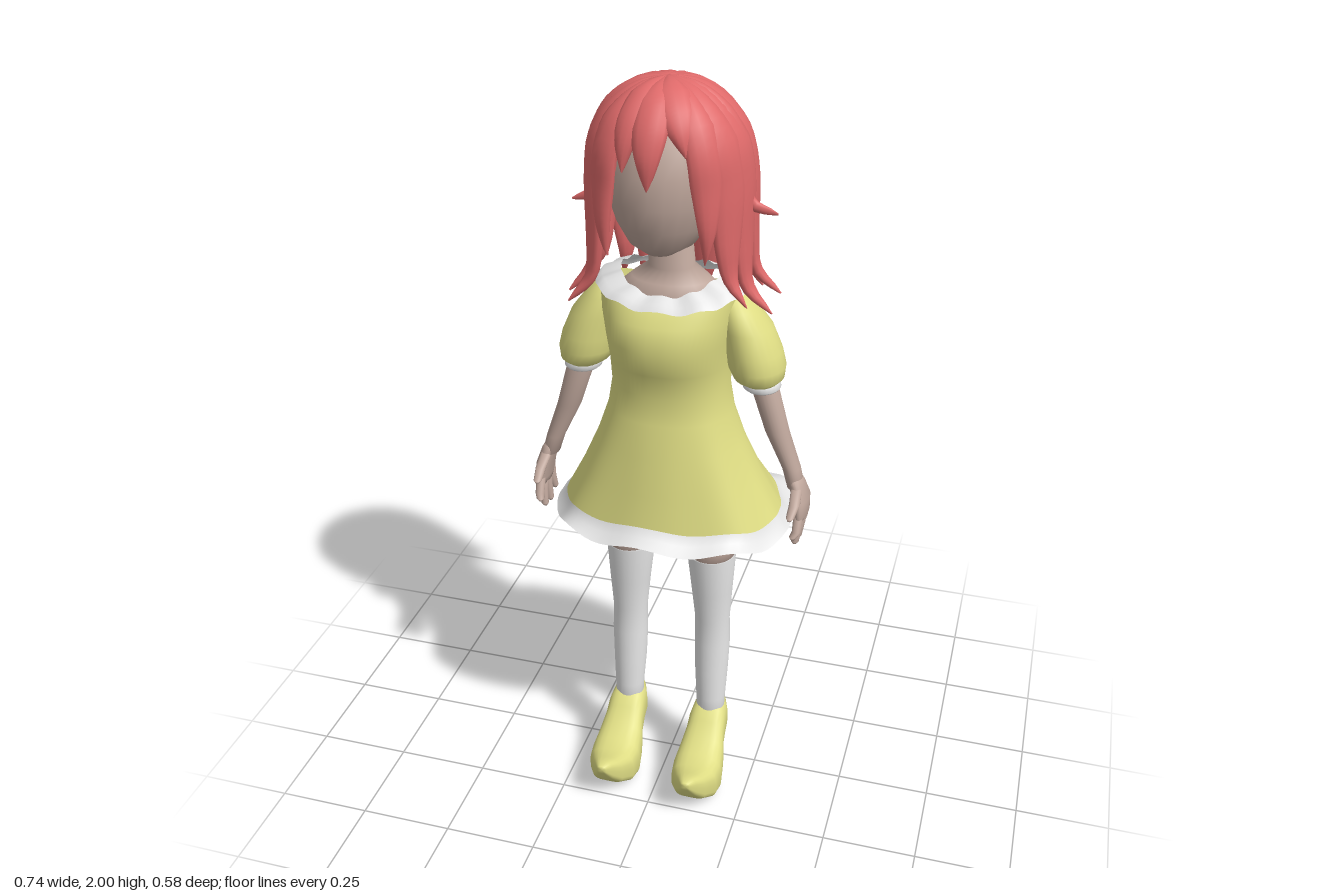
import * as THREE from 'three';

const mat = (name, color, side = THREE.FrontSide) => {
  const m = new THREE.MeshStandardMaterial({ color, side });
  m.name = name;
  return m;
};

// Superellipse ring at height y, with separate front and back depth and squareness
function ring(cx, y, cz, rx, rf, rb = rf, pf = 2, pb = pf, n = 24, shape = null) {
  const pts = [];
  for (let i = 0; i < n; i++) {
    const a = (i / n) * Math.PI * 2, s = Math.sin(a), c = Math.cos(a), p = c > 0 ? pf : pb;
    const v = new THREE.Vector3(
      Math.sign(s) * Math.abs(s) ** (2 / p) * rx, y,
      Math.sign(c) * Math.abs(c) ** (2 / p) * (c > 0 ? rf : rb));
    if (shape) shape(v, a);
    v.x += cx;
    v.z += cz;
    pts.push(v);
  }
  return pts;
}

// Smooth skin over a list of rings, optionally closed at both ends
function loft(rings, capped = true) {
  const n = rings[0].length, pos = [], idx = [];
  rings.forEach(r => r.forEach(v => pos.push(v.x, v.y, v.z)));
  for (let i = 0; i < rings.length - 1; i++) {
    for (let j = 0; j < n; j++) {
      const a = i * n + j, b = i * n + (j + 1) % n;
      idx.push(a, b, b + n, a, b + n, a + n);
    }
  }
  if (capped) {
    [0, rings.length - 1].forEach((k, end) => {
      const c = rings[k].reduce((s, v) => s.add(v), new THREE.Vector3()).divideScalar(n);
      const ci = pos.length / 3;
      pos.push(c.x, c.y, c.z);
      for (let j = 0; j < n; j++) {
        const a = k * n + j, b = k * n + (j + 1) % n;
        if (end) idx.push(ci, a, b); else idx.push(ci, b, a);
      }
    });
  }
  const g = new THREE.BufferGeometry();
  g.setAttribute('position', new THREE.Float32BufferAttribute(pos, 3));
  g.setIndex(idx);
  g.computeVertexNormals();
  return g;
}

// Tapered lock of hair running from the crown over the skull to its swept tip
function lock(phiDeg, tipY, flare, width, sweep = 0) {
  const CY = 1.77, RX = 0.183, RY = 0.216, RZ = 0.194;
  const end = tipY > CY ? Math.acos((tipY - CY) / RY) : Math.PI / 2;
  const at = (f, y, turn = 0, z0 = 0) => {
    const phi = THREE.MathUtils.degToRad(phiDeg + turn);
    return new THREE.Vector3(Math.sin(phi) * RX * f, y, Math.cos(phi) * RZ * f + z0);
  };
  const path = [];
  for (let k = 0; k <= 4; k++) {
    const th = 0.02 + (end - 0.02) * k / 4;
    path.push(at(Math.sin(th), CY + RY * Math.cos(th), sweep * (k / 4 - 1) * 0.8, 0.03 * Math.cos(th)));
  }
  if (tipY < CY - 0.03) {
    const back = Math.max(0, -Math.cos(THREE.MathUtils.degToRad(phiDeg))) * 0.07;
    path.push(at(1.02 + back, CY + (tipY - CY) * 0.5));
    path.push(at(1 + back + (flare - 1) * 0.22, CY + (tipY - CY) * 0.8, sweep * 0.4));
    path.push(at(flare, tipY, sweep));
  }
  const curve = new THREE.CatmullRomCurve3(path), rings = [];
  for (let i = 0; i <= 24; i++) {
    const t = i / 24, P = curve.getPointAt(t), T = curve.getTangentAt(t);
    const N = new THREE.Vector3(P.x, Math.max(0, P.y - CY), P.z).normalize();
    const B = N.clone().cross(T).normalize();
    N.copy(T).cross(B);
    const u = Math.max(0, (t - 0.55) / 0.45);
    const k = Math.min(1, 0.2 + t * 2.4) * Math.max(0.01, 1 - u ** 1.5);
    rings.push(Array.from({ length: 12 }, (_, j) => {
      const a = j / 12 * Math.PI * 2;
      return P.clone().addScaledVector(B, Math.cos(a) * width * k).addScaledVector(N, Math.sin(a) * 0.022 * Math.sqrt(k));
    }));
  }
  return loft(rings);
}

export function createModel() {
  const root = new THREE.Group();
  root.name = 'girl';
  const skin = mat('skin', 0xbda59a);
  const red = mat('hair red', 0xdf6a6a, THREE.DoubleSide);
  const yellow = mat('yellow', 0xdfdd84, THREE.DoubleSide);
  const white = mat('white', 0xe8e8e8, THREE.DoubleSide);
  const add = (name, geo, m, parent = root) => {
    const mesh = new THREE.Mesh(geo, m);
    mesh.name = name;
    parent.add(mesh);
    return mesh;
  };
  const rows = (list, s = 1) => list.map(([x, y, z, rx, rz]) => ring(x * s, y, z, rx, rz));

  // Head, neck and hips
  add('head', loft(rows([
    [0, 1.598, 0.1, 0.035, 0.035], [0, 1.622, 0.08, 0.08, 0.082], [0, 1.67, 0.055, 0.115, 0.13],
    [0, 1.73, 0.045, 0.137, 0.156], [0, 1.8, 0.04, 0.145, 0.157], [0, 1.87, 0.03, 0.135, 0.145],
    [0, 1.93, 0.02, 0.1, 0.11], [0, 1.97, 0.01, 0.04, 0.05]])), skin);
  add('neck', loft(rows([
    [0, 1.4, 0.01, 0.14, 0.09], [0, 1.47, 0.01, 0.135, 0.085], [0, 1.5, 0.005, 0.1, 0.07],
    [0, 1.53, 0, 0.058, 0.052], [0, 1.66, 0.01, 0.048, 0.048]])), skin);
  const hips = add('hips', new THREE.SphereGeometry(1, 24, 16), skin);
  hips.scale.set(0.15, 0.1, 0.1);
  hips.position.set(0, 0.99, 0);

  // Dress: folds grow towards the wavy hem
  const N = 72;
  const fold = (amp, wave, drop = 0) => (v, a) => {
    const k = 1 + amp * Math.cos(8 * a);
    v.x *= k;
    v.z *= k;
    v.y += wave * Math.cos(8 * a + 0.6) - drop * Math.sin(a) ** 2;
  };
  const edge = ring(0, 0.87, 0, 0.285, 0.185, 0.215, 2.2, 2.9, N, fold(0.012, 0.005, 0.012));
  add('dress', loft([
    edge,
    ring(0, 0.96, 0, 0.235, 0.17, 0.172, 2.2, 2.5, N, fold(0.012, 0)),
    ring(0, 1.06, 0, 0.192, 0.157, 0.138, 2.2, 2.3, N, fold(0.008, 0)),
    ring(0, 1.15, 0, 0.162, 0.14, 0.11, 2.2, 2.2, N),
    ring(0, 1.22, 0, 0.151, 0.128, 0.095, 2.2, 2.2, N),
    ring(0, 1.29, 0, 0.153, 0.15, 0.09, 2.2, 2.2, N),
    ring(0, 1.36, 0, 0.16, 0.173, 0.095, 2.2, 2.2, N),
    ring(0, 1.42, 0, 0.172, 0.155, 0.1, 2.2, 2.2, N),
    ring(0, 1.455, 0, 0.18, 0.125, 0.1, 2.2, 2.2, N, (v, a) => { v.y += 0.03 * Math.sin(a) ** 2; }),
  ], false), yellow);
  add('hem', loft([
    ring(0, 0.834, 0, 0.315, 0.233, 0.29, 2.05, 3.2, N, fold(0.01, 0.009, 0.02)),
    ring(0, 0.848, 0, 0.298, 0.2, 0.25, 2.1, 3, N, fold(0.012, 0.007, 0.016)),
    edge,
  ], false), white);
  const collarRing = (y, rx, rf, rb, lift) => ring(0, y, 0, rx, rf, rb, 2.2, 2.2, N, (v, a) => {
    v.y += lift * Math.sin(a) ** 2 + (Math.cos(a) < 0 ? 0.03 * Math.cos(a) ** 2 : 0) + 0.004 * Math.cos(12 * a);
  });
  add('collar', loft([
    collarRing(1.452, 0.19, 0.134, 0.108, 0.03),
    collarRing(1.466, 0.172, 0.122, 0.104, 0.036),
    collarRing(1.48, 0.125, 0.096, 0.085, 0.04),
  ], false), white);

  for (const s of [1, -1]) {
    const side = s > 0 ? 'left' : 'right';

    // Arm with puffed sleeve
    const arm = new THREE.Group();
    arm.name = side + 'Arm';
    root.add(arm);
    add('sleeve', loft(rows([
      [0.23, 1.243, 0.005, 0.043, 0.05], [0.226, 1.26, 0.005, 0.063, 0.075], [0.22, 1.29, 0.005, 0.072, 0.082],
      [0.212, 1.33, 0.005, 0.07, 0.082], [0.194, 1.39, 0.005, 0.062, 0.076], [0.17, 1.44, 0.005, 0.048, 0.062],
      [0.155, 1.475, 0.005, 0.032, 0.04]], s)), yellow, arm);
    add('cuff', loft(rows([
      [0.235, 1.226, 0.005, 0.042, 0.045], [0.234, 1.232, 0.005, 0.048, 0.052],
      [0.231, 1.246, 0.005, 0.048, 0.053], [0.23, 1.252, 0.005, 0.043, 0.048]], s)), white, arm);
    add('forearm', loft(rows([
      [0.332, 0.96, 0.008, 0.022, 0.032], [0.318, 1.01, 0.005, 0.024, 0.028], [0.277, 1.11, 0.004, 0.031, 0.032],
      [0.235, 1.25, 0.005, 0.036, 0.034]], s)), skin, arm);

    // Hand: palm, four fingers and a thumb
    add('palm', loft(rows([
      [0.35, 0.872, 0.013, 0.012, 0.044], [0.352, 0.89, 0.012, 0.018, 0.054], [0.348, 0.93, 0.01, 0.022, 0.05],
      [0.335, 0.97, 0.008, 0.021, 0.034], [0.328, 0.985, 0.008, 0.019, 0.027]], s)), skin, arm);
    [[0.05, 0.078, 0.838], [0.026, 0.046, 0.806], [0, 0.006, 0.8], [-0.026, -0.032, 0.818]].forEach(([z0, z1, y]) =>
      add('finger', loft(rows([
        [0.343, y, z1, 0.005, 0.005], [0.344, y + 0.008, z1, 0.01, 0.01],
        [0.35, 0.855, (z0 + z1) / 2, 0.012, 0.012], [0.35, 0.895, z0, 0.012, 0.013]], s)), skin, arm));
    add('thumb', loft(rows([
      [0.338, 0.912, 0.108, 0.005, 0.006], [0.339, 0.918, 0.101, 0.011, 0.013],
      [0.342, 0.938, 0.065, 0.014, 0.02], [0.338, 0.965, 0.025, 0.014, 0.02]], s)), skin, arm);

    // Leg and stocking
    const leg = new THREE.Group();
    leg.name = side + 'Leg';
    root.add(leg);
    add('thigh', loft(rows([
      [0.113, 0.69, 0.008, 0.06, 0.063], [0.114, 0.74, 0.008, 0.066, 0.069],
      [0.115, 0.82, 0.006, 0.073, 0.077], [0.1, 0.98, 0, 0.085, 0.088]], s)), skin, leg);
    add('stocking', loft(rows([
      [0.12, 0.16, 0.022, 0.038, 0.036], [0.12, 0.24, 0.02, 0.041, 0.04], [0.119, 0.33, 0.012, 0.046, 0.046],
      [0.119, 0.42, 0.007, 0.049, 0.047], [0.118, 0.5, 0.007, 0.048, 0.044], [0.116, 0.6, 0.009, 0.056, 0.055],
      [0.113, 0.715, 0.008, 0.066, 0.068], [0.113, 0.72, 0.008, 0.062, 0.064]], s)), white, leg);

    // High-heeled shoe: sections [z, bottom, top, half width] from back to toe
    const sections = [
      [-0.028, 0.15, 0.205, 0.018], [-0.02, 0.125, 0.222, 0.036], [0.015, 0.11, 0.222, 0.05],
      [0.052, 0.1, 0.212, 0.053], [0.08, 0.08, 0.182, 0.055], [0.115, 0.028, 0.152, 0.064],
      [0.16, 0.006, 0.128, 0.07], [0.2, 0.014, 0.121, 0.065], [0.24, 0.04, 0.13, 0.045],
      [0.27, 0.078, 0.14, 0.028], [0.29, 0.112, 0.136, 0.013]];
    add('shoe', loft(sections.map(([z, b, t, w]) =>
      ring(0, 0, 0, w, (t - b) / 2, (t - b) / 2, 2.6, 4).map(v =>
        new THREE.Vector3(s * 0.12 - v.x, (b + t) / 2 + v.z, z)))), yellow, leg);
    add('heel', loft(rows([
      [0.12, 0, 0.022, 0.021, 0.019], [0.12, 0.06, 0.02, 0.025, 0.022],
      [0.12, 0.11, 0.018, 0.034, 0.032], [0.12, 0.16, 0.013, 0.045, 0.038]], s)), yellow, leg);
  }

  // Hair: scalp cap and back shell below the locks
  const hair = new THREE.Group();
  hair.name = 'hair';
  root.add(hair);
  const top = new THREE.SphereGeometry(1, 32, 12, 0, Math.PI * 2, 0, Math.PI * 0.26);
  const rear = new THREE.SphereGeometry(1, 32, 20, Math.PI / 2 + 0.85, Math.PI * 2 - 1.7, 0, Math.PI * 0.64);
  for (const g of [top, rear]) {
    const cap = add('hairCap', g, red, hair);
    cap.scale.set(0.182, 0.214, 0.19);
    cap.position.set(0, 1.77, 0);
  }

  // Locks: [angle from the front, tip height, tip flare, half width, sideways sweep]
  const locks = [
    [-21, 1.81, 1, 0.036, 6], [-1, 1.77, 1.02, 0.042], [28, 1.85, 1, 0.042, 8],
    [84, 1.69, 1.45, 0.026], [-86, 1.675, 1.34, 0.026],
    [-42, 1.59, 0.96, 0.042], [-61, 1.45, 1.38, 0.055, -4], [-82, 1.45, 1.38, 0.055, 3], [-104, 1.46, 1.3, 0.055, 3],
    [-127, 1.42, 1.25, 0.058, -3], [-150, 1.31, 1.55, 0.06, 2], [-170, 1.34, 1.12, 0.058, -5],
    [42, 1.59, 0.96, 0.042], [60, 1.48, 1.28, 0.052, 5], [79, 1.44, 1.42, 0.055, 4], [102, 1.46, 1.45, 0.055, -2],
    [125, 1.44, 1.28, 0.058, -3], [148, 1.38, 1.3, 0.06, 4], [170, 1.33, 1.28, 0.062, 9]];
  locks.forEach(l => add('hairLock', lock(...l), red, hair));

  return root;
}
